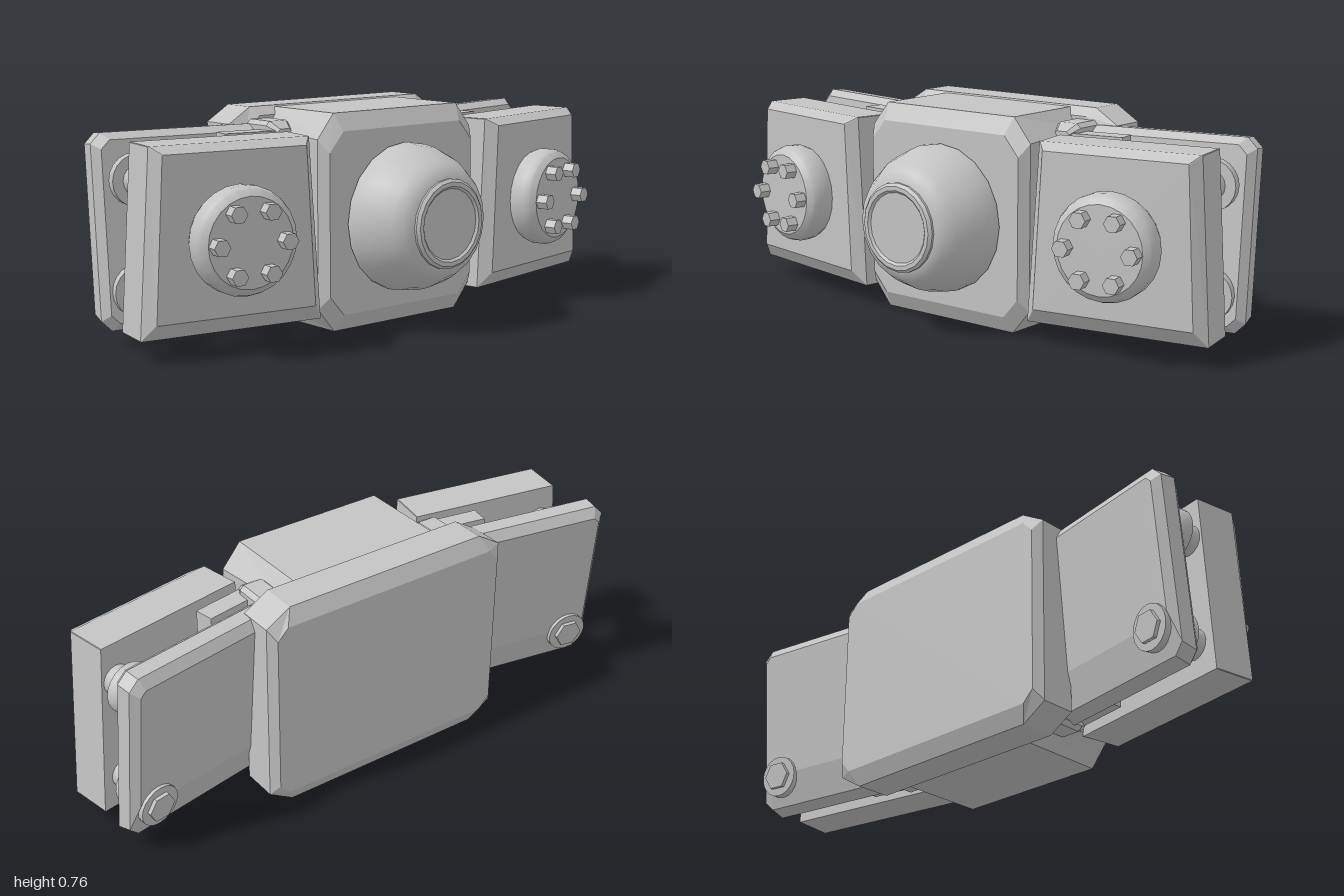
import * as THREE from 'three';
import { toCreasedNormals } from 'three/addons/utils/BufferGeometryUtils.js';

const grey = new THREE.MeshStandardMaterial({ color: 0xc4c4c4 });
grey.name = 'plain grey';

function add(parent, name, geometry, x = 0, y = 0, z = 0) {
  const mesh = new THREE.Mesh(geometry, grey);
  mesh.name = name;
  mesh.position.set(x, y, z);
  parent.add(mesh);
  return mesh;
}

// Solid through chamfered sections, back to front: [z, bottomHalfWidth, topHalfWidth, y0, y1, chamferX, chamferY]
function loft(sections) {
  const rings = sections.map(([z, b, t, y0, y1, cx, cy = cx]) => [
    [-b + cx, y0, z], [b - cx, y0, z], [b, y0 + cy, z], [t, y1 - cy, z],
    [t - cx, y1, z], [-t + cx, y1, z], [-t, y1 - cy, z], [-b, y0 + cy, z],
  ]);
  const pos = [];
  const tri = (...p) => p.forEach((v) => pos.push(...v));
  for (let r = 0; r < rings.length - 1; r++) {
    for (let i = 0; i < 8; i++) {
      const j = (i + 1) % 8, A = rings[r], B = rings[r + 1];
      tri(A[i], A[j], B[j]);
      tri(A[i], B[j], B[i]);
    }
  }
  const back = rings[0], front = rings[rings.length - 1];
  for (let i = 1; i < 7; i++) {
    tri(back[0], back[i + 1], back[i]);
    tri(front[0], front[i], front[i + 1]);
  }
  const g = new THREE.BufferGeometry();
  g.setAttribute('position', new THREE.Float32BufferAttribute(pos, 3));
  g.computeVertexNormals();
  return g;
}

// Round part turned about the z axis from [radius, z] points
function turned(points, sides) {
  const g = new THREE.LatheGeometry(points.map((p) => new THREE.Vector2(...p)), sides);
  g.rotateX(Math.PI / 2);
  return toCreasedNormals(g, 0.6);
}

// Disc or hexagonal bolt along z
function disc(radius, depth, sides) {
  const g = new THREE.CylinderGeometry(radius, radius, depth, sides);
  g.rotateX(Math.PI / 2);
  if (sides === 6) g.rotateZ(Math.PI / 6);
  return toCreasedNormals(g, 0.6);
}

function buildSide(root, s) {
  const yaw = s * 0.18;

  // Front pod: wider at the bottom, with a sloping rim round its face
  const pod = new THREE.Group();
  pod.name = s > 0 ? 'leftPod' : 'rightPod';
  pod.position.set(s * 0.68, 0, 0.01);
  pod.rotation.y = yaw;
  root.add(pod);
  add(pod, 'podBody', loft([
    [-0.085, 0.325, 0.285, 0.075, 0.695, 0.002],
    [0.065, 0.325, 0.285, 0.075, 0.695, 0.002],
    [0.105, 0.285, 0.255, 0.13, 0.67, 0.002],
  ]));

  // Round cap with a ring of six hexagonal bolts
  add(pod, 'roundCap', turned([
    [0, 0.09], [0.165, 0.09], [0.18, 0.125], [0.18, 0.165], [0.172, 0.188], [0.15, 0.205], [0, 0.205],
  ], 24), 0, 0.385, 0);
  for (let i = 0; i < 6; i++) {
    const a = (i * Math.PI) / 3;
    add(pod, 'capBolt', disc(0.029, 0.05, 6), Math.cos(a) * 0.12, 0.385 + Math.sin(a) * 0.115, 0.222);
  }

  // Rear plate, leaning back at the top, lower back edge cut away
  const plate = new THREE.Group();
  plate.name = s > 0 ? 'leftRearPlate' : 'rightRearPlate';
  plate.position.set(s * 0.675, 0.385, -0.238);
  plate.rotation.set(-0.095, yaw, 0, 'YXZ');
  root.add(plate);
  add(plate, 'plateBody', loft([
    [-0.055, 0.29, 0.29, -0.19, 0.29, 0.02],
    [-0.03, 0.315, 0.315, -0.31, 0.325, 0.035],
    [0.025, 0.315, 0.315, -0.33, 0.325, 0.035],
    [0.055, 0.29, 0.29, -0.305, 0.3, 0.03],
  ]));
  add(plate, 'rearWasher', disc(0.075, 0.03, 20), s * 0.22, -0.2, -0.052);
  add(plate, 'rearBolt', disc(0.052, 0.03, 6), s * 0.22, -0.2, -0.066);

  // Spacers between pod and plate
  for (const y of [0.56, 0.19]) {
    const spacer = new THREE.Group();
    spacer.name = 'spacer';
    spacer.position.set(s * 0.885, y, -0.165);
    spacer.rotation.y = yaw;
    root.add(spacer);
    add(spacer, 'spacerFlange', turned([
      [0, -0.06], [0.08, -0.06], [0.088, -0.045], [0.088, -0.01], [0, -0.01],
    ], 20), 0, 0, 0);
    add(spacer, 'spacerPin', disc(0.052, 0.09, 16), 0, 0, 0.025);
  }

  // Hinge lugs beside the centre block and links reaching under the pod
  for (const [y0, y1] of [[0.5, 0.725], [0.29, 0.485], [0.05, 0.275]]) {
    const m = (y0 + y1) / 2, h = (y1 - y0) / 2;
    add(root, 'hingeLug', loft([
      [-0.22, 0.05, 0.05, -h, h, 0.015],
      [-0.1, 0.05, 0.05, -h, h, 0.015],
      [-0.06, 0.03, 0.03, -h + 0.025, h - 0.025, 0.01],
    ]), s * 0.365, m, 0);
    const link = add(root, 'hingeLink', new THREE.BoxGeometry(0.2, 2 * h - 0.06, 0.07), s * 0.48, m, -0.12);
    link.rotation.y = yaw;
  }
}

export function createModel() {
  const root = new THREE.Group();
  root.name = 'model';

  // Back plate
  add(root, 'backPlate', loft([
    [-0.38, 0.455, 0.455, 0.055, 0.71, 0.04],
    [-0.352, 0.48, 0.48, 0, 0.765, 0.09, 0.055],
    [-0.225, 0.48, 0.48, 0, 0.765, 0.09, 0.055],
    [-0.195, 0.43, 0.43, 0.03, 0.735, 0.06],
  ]));

  // Centre block
  add(root, 'centreBlock', loft([
    [-0.22, 0.335, 0.335, 0.01, 0.76, 0.05, 0.07],
    [0.1, 0.355, 0.355, 0.01, 0.76, 0.07, 0.085],
    [0.135, 0.33, 0.33, 0.07, 0.7, 0.06, 0.07],
  ]));

  // Dome with a ringed nose
  add(root, 'dome', turned([
    [0, 0.13], [0.26, 0.145], [0.26, 0.165], [0.252, 0.215], [0.236, 0.265], [0.212, 0.31],
    [0.19, 0.343], [0.155, 0.362], [0, 0.362],
  ], 20), 0, 0.385, 0);
  add(root, 'domeNose', turned([
    [0, 0.355], [0.155, 0.355], [0.155, 0.37], [0.145, 0.38], [0.13, 0.38], [0.122, 0.372], [0, 0.372],
  ], 20), 0, 0.385, 0);

  for (const s of [1, -1]) buildSide(root, s);
  return root;
}
